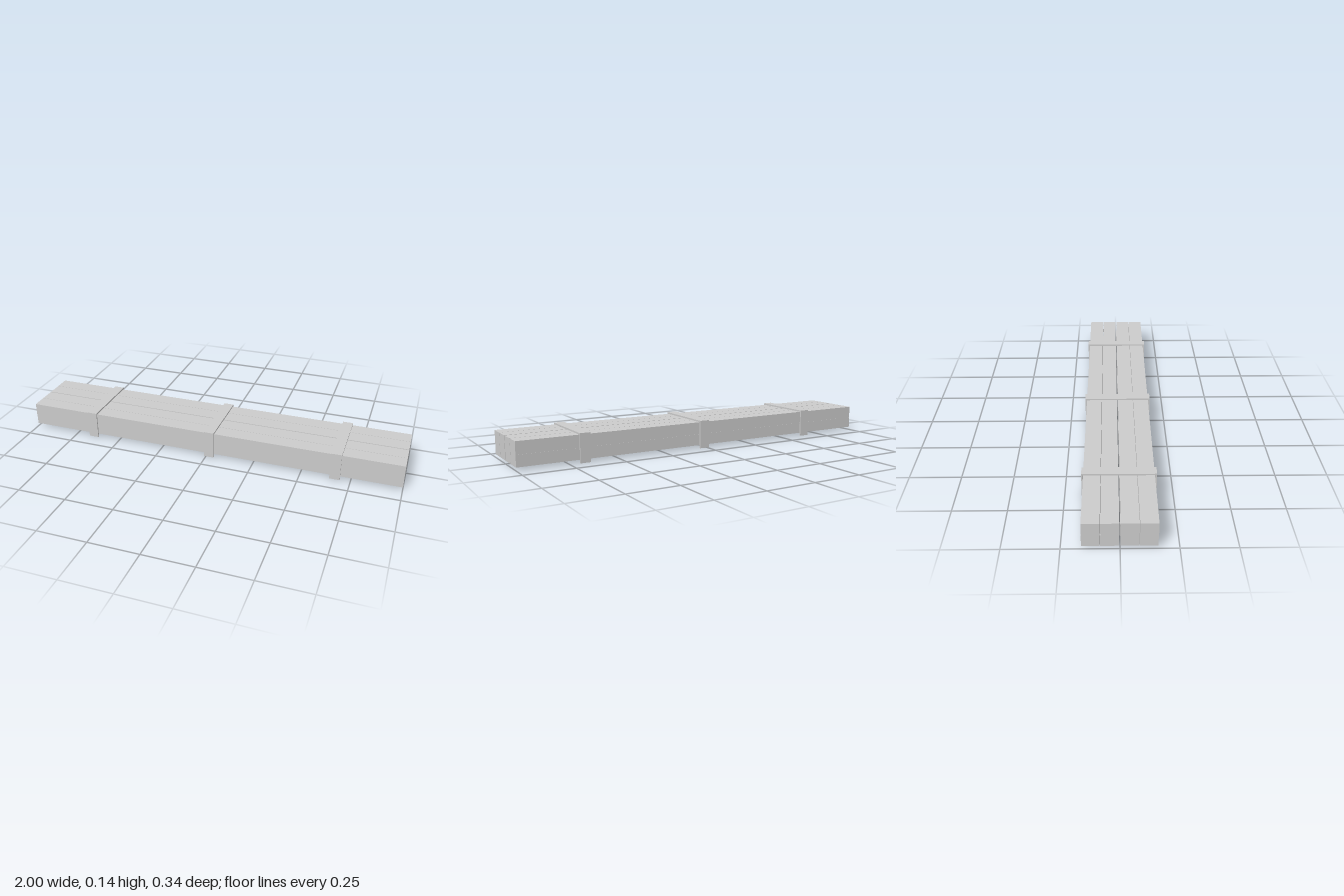
import * as THREE from 'three';

const material = new THREE.MeshStandardMaterial({ color: 0xcccccc, flatShading: true });

// Box given by its minimum and maximum corners
function block(name, [x0, y0, z0], [x1, y1, z1]) {
  const mesh = new THREE.Mesh(new THREE.BoxGeometry(x1 - x0, y1 - y0, z1 - z0), material);
  mesh.position.set((x0 + x1) / 2, (y0 + y1) / 2, (z0 + z1) / 2);
  mesh.name = name;
  return mesh;
}

export function createModel() {
  const model = new THREE.Group();
  model.name = 'plankBundle';

  // Four columns of long planks, six layers high; the upper half sits slightly askew
  const planks = new THREE.Group();
  planks.name = 'planks';
  const columns = [0.121, 0.041, -0.043, -0.123];
  const levels = [0.016, 0.036, 0.054, 0.073, 0.093, 0.113, 0.135];
  for (let row = 0; row < 6; row++) {
    const shift = row < 3 ? -0.0005 : 0.0005;
    for (const z of columns) {
      planks.add(block('plank', [-1, levels[row], z - 0.039 + shift], [1, levels[row + 1], z + 0.039 + shift]));
    }
  }
  model.add(planks);

  // Three straps, open underneath: a top bar and two side bars each
  for (const x of [-0.648, 0.016, 0.672]) {
    const strap = new THREE.Group();
    strap.name = 'strap';
    const x0 = x - 0.026, x1 = x + 0.026;
    strap.add(
      block('strapTop', [x0, 0.135, -0.163], [x1, 0.143, 0.163]),
      block('strapFront', [x0, 0, 0.163], [x1, 0.143, 0.17]),
      block('strapBack', [x0, 0, -0.17], [x1, 0.143, -0.163]),
    );
    model.add(strap);
  }
  return model;
}
